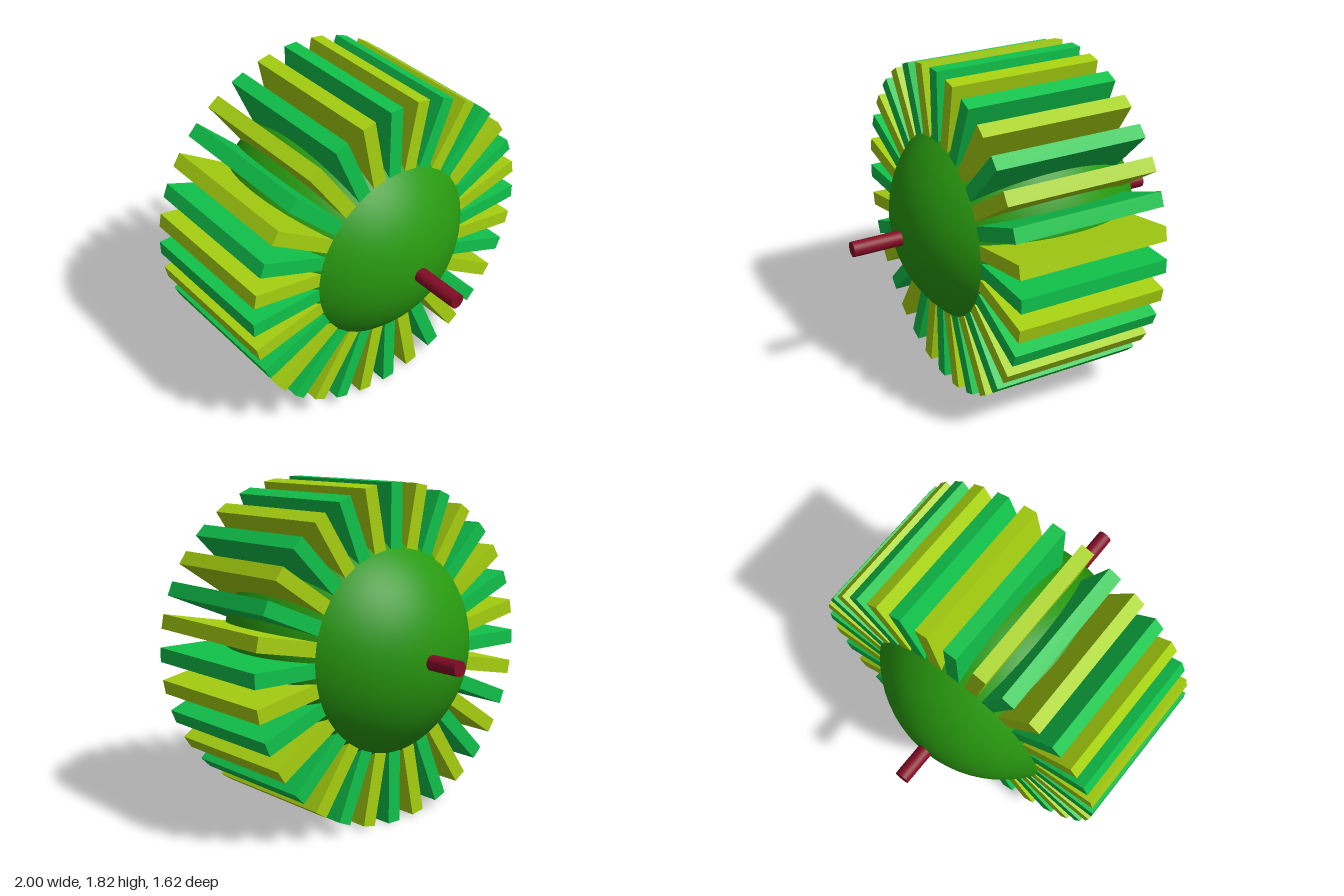
import * as THREE from 'three';

const SLATS = 32;
const OUTER = 0.908, INNER = 0.35;   // radial reach of the slats
const WIDTH = 0.843, THICK = 0.078;  // slat length along the axle, and thickness

const mat = (name, color) => {
  const m = new THREE.MeshStandardMaterial({ color });
  m.name = name;
  return m;
};

export function createModel() {
  const bladeGreen = mat('blade green', 0x10c24b);
  const lime = mat('lime', 0xa6d010);
  const leafGreen = mat('leaf green', 0x28990f);
  const darkRed = mat('dark red', 0x850c25);

  const model = new THREE.Group();
  model.name = 'paddleWheel';

  // everything turns about an axle along local z
  const wheel = new THREE.Group();
  wheel.name = 'wheel';
  wheel.position.set(0, 0.909, -0.01);
  wheel.rotation.y = THREE.MathUtils.degToRad(28.5);
  model.add(wheel);

  // radial slats in alternating colours
  const slatGeo = new THREE.BoxGeometry(OUTER - INNER, THICK, WIDTH);
  slatGeo.translate((OUTER + INNER) / 2, 0, 0);
  for (let i = 0; i < SLATS; i++) {
    const slat = new THREE.Mesh(slatGeo, i % 2 ? lime : bladeGreen);
    slat.name = 'slat' + (i + 1);
    slat.rotation.z = (i / SLATS) * Math.PI * 2;
    wheel.add(slat);
  }

  // round core, slightly off centre
  const core = new THREE.Mesh(new THREE.SphereGeometry(0.67, 64, 40), leafGreen);
  core.name = 'core';
  core.position.set(0, 0.028, -0.027);
  wheel.add(core);

  // axle through the core
  const axleGeo = new THREE.CylinderGeometry(0.041, 0.041, 1.8, 32);
  axleGeo.rotateX(Math.PI / 2);
  const axle = new THREE.Mesh(axleGeo, darkRed);
  axle.name = 'axle';
  axle.position.set(0, 0.013, 0.012);
  wheel.add(axle);

  return model;
}
